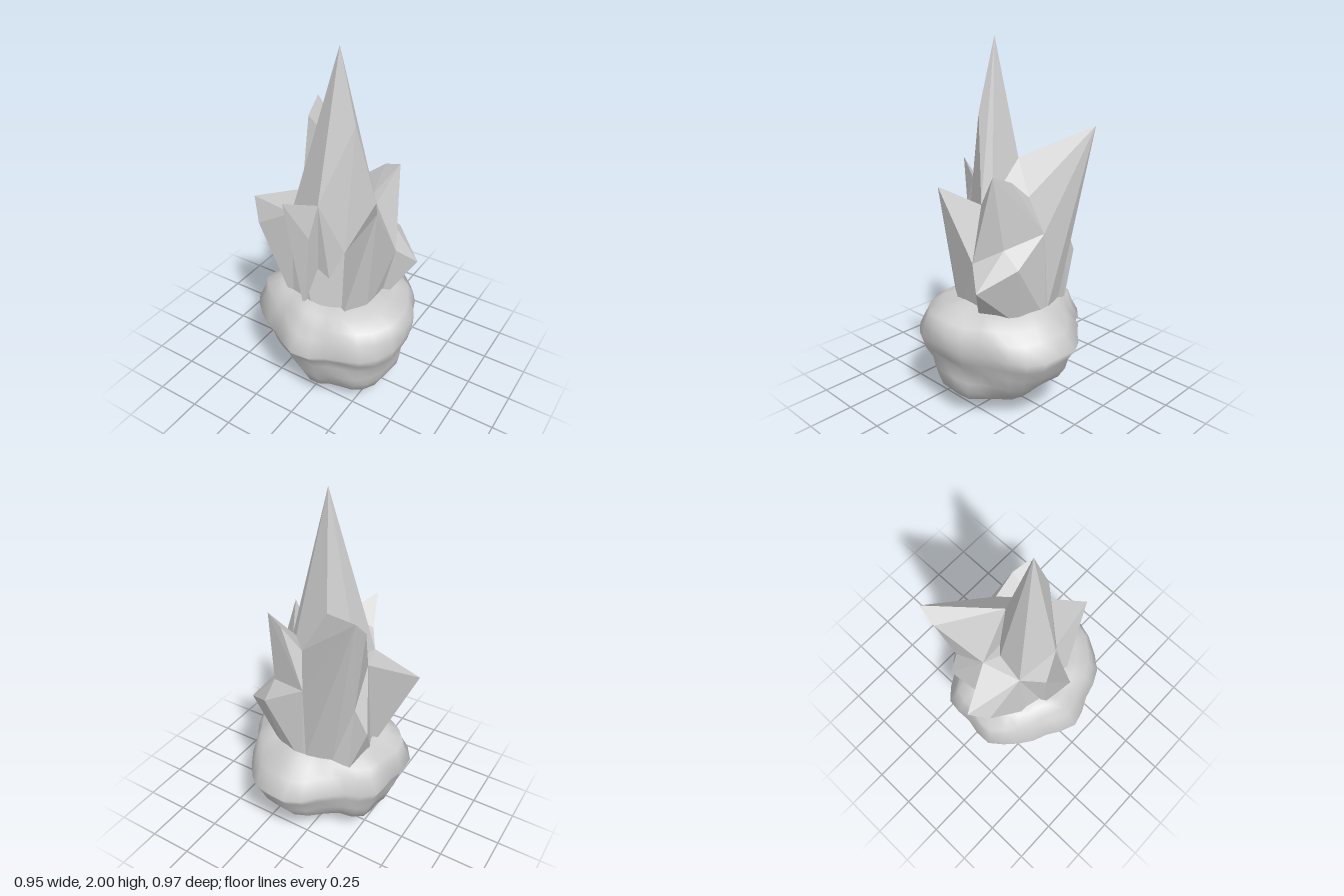
import * as THREE from 'three';
import { mergeVertices } from 'three/addons/utils/BufferGeometryUtils.js';
import { ConvexGeometry } from 'three/addons/geometries/ConvexGeometry.js';

const grey = new THREE.MeshStandardMaterial({ color: 0xcccccc });
grey.name = 'stoneGrey';

// Corners shared by neighbouring crystals
const SPIKE_BACK = [-0.02, 1.39, -0.055];
const SPIKE_LEFT = [-0.15, 1.12, 0.025];
const SPIKE_FRONT_LEFT = [-0.175, 1.1, 0.185];
const SPIKE_FRONT = [0.03, 1.24, 0.24];
const SPIKE_RIGHT = [0.14, 0.95, 0.165];
const SPIKE_BACK_RIGHT = [0.17, 1.2, -0.055];
const RIGHT_SADDLE = [0.215, 1.18, -0.02];
const FRONT_STEP = [-0.1, 1.15, 0.3];
const LEFT_NOTCH = [-0.24, 1.13, -0.01];
const BACK_NOTCH = [0, 1.03, -0.26];
const BACK_VALLEY = [0.045, 1.22, -0.19];
const BACK_STEP = [0.225, 0.98, -0.19];
const RIGHT_NOTCH = [0.32, 0.9, -0.06];
const BACK_CORNER = [0.225, 0.9, -0.29];
const BACK_LEFT_VALLEY = [-0.27, 0.97, -0.19];

// Each crystal is the faceted hull of its corners, rooted inside the rock
const CRYSTALS = {
  // the wide stump that joins the crystals, up to the valleys between them
  crystalRoot: [SPIKE_FRONT_LEFT, SPIKE_RIGHT, RIGHT_NOTCH, BACK_STEP, BACK_CORNER, BACK_NOTCH,
    LEFT_NOTCH, BACK_LEFT_VALLEY, [-0.25, 0.55, 0.08], [-0.15, 0.55, 0.23], [0.02, 0.55, 0.28],
    [0.165, 0.55, 0.24], [0.25, 0.55, 0.12], [0.24, 0.55, -0.1], [0.15, 0.55, -0.23],
    [0, 0.55, -0.28], [-0.24, 0.55, -0.2]],
  mainSpike: [[0.04, 2, 0.055], [0.14, 1.63, 0.07], SPIKE_BACK, SPIKE_LEFT, SPIKE_FRONT_LEFT,
    SPIKE_FRONT, SPIKE_RIGHT, SPIKE_BACK_RIGHT, RIGHT_SADDLE, [-0.1, 0.55, 0.2], [0.1, 0.55, 0.2],
    [0.1, 0.55, -0.1], [-0.1, 0.55, -0.1]],
  backSaddle: [SPIKE_BACK, SPIKE_BACK_RIGHT, BACK_VALLEY, [0.05, 0.8, 0]],
  backLeftCrystal: [[-0.33, 1.55, -0.31], [-0.335, 1.46, -0.22], [-0.17, 1.43, -0.19],
    BACK_VALLEY, SPIKE_BACK, LEFT_NOTCH, BACK_NOTCH, BACK_LEFT_VALLEY,
    [-0.15, 0.55, -0.22], [0, 0.55, -0.27], [-0.1, 0.55, 0]],
  sideCrystal: [[-0.48, 1.07, 0.11], [-0.4, 0.96, 0.185], LEFT_NOTCH, SPIKE_LEFT, SPIKE_FRONT_LEFT,
    [-0.25, 0.55, 0.06], [-0.15, 0.55, 0.23], [-0.1, 0.55, 0]],
  lowSideCrystal: [[-0.34, 0.83, -0.18], LEFT_NOTCH, BACK_LEFT_VALLEY, [-0.26, 0.55, 0.02],
    [-0.24, 0.55, -0.2], [0, 0.55, 0]],
  frontCrystal: [SPIKE_FRONT_LEFT, SPIKE_FRONT, FRONT_STEP,
    [0.015, 1.07, 0.305], [-0.05, 0.55, 0.27], [0, 0.55, 0.1]],
  frontCrystalTip: [[-0.06, 1.31, 0.41], SPIKE_FRONT, FRONT_STEP,
    [0.015, 1.07, 0.305], [-0.05, 0.55, 0.27]],
  frontRightCrystal: [[0.33, 1.26, 0.18], RIGHT_SADDLE, SPIKE_RIGHT,
    RIGHT_NOTCH, [0.165, 0.55, 0.24], [0.25, 0.55, 0.12], [0.24, 0.55, -0.05]],
  lowRightCrystal: [[0.4, 0.79, -0.17], RIGHT_NOTCH, BACK_STEP, BACK_CORNER, [0.25, 0.55, -0.03],
    [0.15, 0.55, -0.23], [0.1, 0.9, -0.1]],
  backRightCrystal: [[0.27, 1.36, -0.16], [0.17, 1.32, -0.19], RIGHT_SADDLE,
    SPIKE_BACK_RIGHT, BACK_VALLEY, RIGHT_NOTCH, BACK_STEP, BACK_NOTCH],
};

// Rock outline seen from above, every 22.5 degrees from +x towards +z
const OUTLINE = [0.465, 0.5, 0.495, 0.45, 0.48, 0.43, 0.445, 0.47,
  0.415, 0.44, 0.38, 0.405, 0.485, 0.495, 0.455, 0.43];
// Rock profile from bottom to top: height, then the share of the outline
// radius reached towards +x, +z, -x and -z
const PROFILE = [
  [0, 0, 0, 0, 0],
  [0.055, 0.5, 0.4, 0.38, 0.34],
  [0.11, 0.74, 0.6, 0.62, 0.52],
  [0.17, 0.84, 0.7, 0.78, 0.62],
  [0.24, 0.88, 0.81, 0.82, 0.77],
  [0.31, 0.88, 0.84, 0.9, 0.87],
  [0.375, 0.97, 0.89, 0.92, 0.91],
  [0.44, 1, 1, 1, 1],
  [0.515, 1, 0.86, 0.92, 0.83],
  [0.575, 0.93, 0.81, 0.9, 0.71],
  [0.615, 0.74, 0.7, 0.7, 0.61],
  [0.645, 0.52, 0.5, 0.45, 0.46],
  [0.63, 0, 0, 0, 0],
];

function createRock() {
  const cols = OUTLINE.length * 2, rows = PROFILE.length - 1;
  const geo = new THREE.SphereGeometry(1, cols, rows);
  const pos = geo.attributes.position;
  for (let r = 0; r <= rows; r++) {
    const [height, right, front, left, back] = PROFILE[rows - r];
    for (let c = 0; c <= cols; c++) {
      // the sphere's columns run from -x towards +z, so turn to the outline's order
      const k = (cols * 1.5 - c) % cols;
      const a = (k / cols) * Math.PI * 2;
      const i = Math.floor(k / 2);
      const radius = k % 2 ? (OUTLINE[i] + OUTLINE[(i + 1) % OUTLINE.length]) / 2 : OUTLINE[i];
      const cos = Math.cos(a), sin = Math.sin(a);
      const share = cos * cos * (cos > 0 ? right : left) + sin * sin * (sin > 0 ? front : back);
      // lumps fade out at the widest ring; the poles have no radius
      const fade = Math.min(1, Math.abs(height - 0.44) * 8);
      const lump = 1 + 0.012 * fade * (Math.sin(4 * a + height * 17) + Math.sin(7 * a - height * 23));
      const rise = share * (0.01 * Math.sin(3 * a + 1.3) + 0.01 * Math.sin(8 * a));
      const tip = Math.max(0, 1 - height / 0.2);
      pos.setXYZ(r * (cols + 1) + c,
        cos * radius * share * lump + 0.03 * tip,
        height + rise,
        sin * radius * share * lump + 0.07 * tip);
    }
  }
  geo.deleteAttribute('uv');
  geo.deleteAttribute('normal');
  const rock = mergeVertices(geo, 1e-4);
  rock.computeVertexNormals();
  return rock;
}

export function createModel() {
  const model = new THREE.Group();
  model.name = 'crystalRock';

  const rock = new THREE.Mesh(createRock(), grey);
  rock.name = 'rock';
  model.add(rock);

  const cluster = new THREE.Group();
  cluster.name = 'crystalCluster';
  for (const [name, corners] of Object.entries(CRYSTALS)) {
    const points = corners.map((p) => new THREE.Vector3(...p));
    const crystal = new THREE.Mesh(new ConvexGeometry(points), grey);
    crystal.name = name;
    cluster.add(crystal);
  }
  model.add(cluster);
  return model;
}
